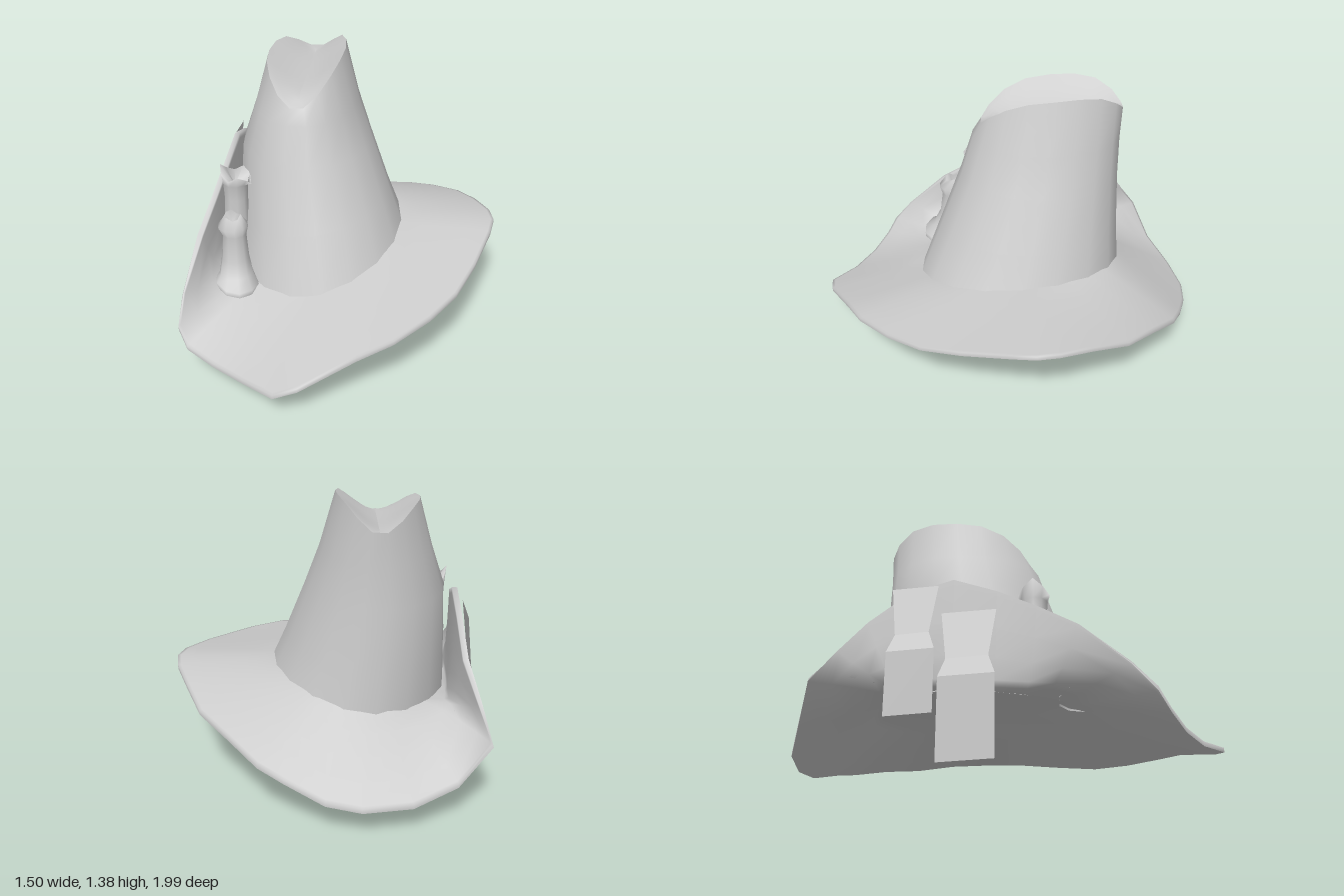
import * as THREE from 'three';

const felt = new THREE.MeshStandardMaterial({ color: 0xcccccc, side: THREE.DoubleSide });
felt.name = 'lightGrey';

// Skin a stack of closed rings, each a list of [x, y, z]
function loft(name, rings) {
  const n = rings[0].length, index = [];
  for (let r = 0; r < rings.length - 1; r++) {
    for (let i = 0; i < n; i++) {
      const a = r * n + i, b = r * n + (i + 1) % n;
      index.push(a, a + n, b, b, a + n, b + n);
    }
  }
  const g = new THREE.BufferGeometry();
  g.setAttribute('position', new THREE.Float32BufferAttribute(rings.flat(2), 3));
  g.setIndex(index);
  g.computeVertexNormals();
  const mesh = new THREE.Mesh(g, felt);
  mesh.name = name;
  return mesh;
}

const { lerp, clamp } = THREE.MathUtils;

// Horizontal ellipse; height is a function of x, z and the angle
function ellipse(cx, cz, rx, rz, height, n = 18) {
  return Array.from({ length: n }, (_, i) => {
    const t = (i / n) * Math.PI * 2;
    const x = cx + rx * Math.cos(t), z = cz + rz * Math.sin(t);
    return [x, height(x, z, t), z];
  });
}

// Where crown and brim meet
const baseX = -0.17, baseZ = -0.07, baseRX = 0.44, baseRZ = 0.54;
const seamHeight = (x, z) => {
  const u = x - baseX;
  return 0.385 + u * (u > 0 ? 0.25 : 0.04) - 0.09 * z;
};

function makeCrown() {
  const g = new THREE.Group();
  g.name = 'crown';
  // rim dips at the front and a little at the back
  const rimHeight = (x, z) => {
    const s = (z + 0.235) / 0.355;
    return 1.368 + 0.06 * (x + 0.245) - 0.03 * s - (s > 0 ? 0.138 * s ** 3 : 0.13 * s ** 4);
  };
  const rim = ellipse(-0.245, -0.23, 0.195, 0.36, rimHeight);
  g.add(loft('crownWall', [
    ellipse(baseX, baseZ, baseRX, baseRZ, (x, z) => seamHeight(x, z) - 0.02),
    ellipse(-0.2, -0.12, 0.395, 0.475, (x, z) => 0.64 + 0.1 * x),
    ellipse(-0.24, -0.175, 0.335, 0.41, () => 0.92),
    ellipse(-0.242, -0.205, 0.265, 0.378, () => 1.12),
    rim,
  ]));
  // top sinking to a soft valley along the middle
  const cap = [1, 0.75, 0.5, 0.25, 0].map(k => rim.map(([x, y, z]) => {
    const zz = -0.23 + (z + 0.23) * lerp(0.8, 1, k);
    const valley = 1.245 - 0.07 * (zz + 0.23);
    return [-0.245 + (x + 0.245) * k, lerp(valley, y, k ** 1.2), zz];
  }));
  g.add(loft('crownTop', cap));
  return g;
}

// Brim edge, going round from the unturned side to the front
const brimEdge = [
  [0.75, 0.5, -0.13], [0.73, 0.49, -0.02], [0.65, 0.44, 0.22], [0.56, 0.395, 0.42],
  [0.44, 0.37, 0.59], [0.28, 0.345, 0.75], [0.12, 0.31, 0.84], [-0.13, 0.22, 0.97],
  [-0.24, 0.19, 0.99], [-0.4, 0.165, 0.88], [-0.56, 0.17, 0.79], [-0.7, 0.205, 0.72],
  [-0.75, 0.28, 0.67], [-0.75, 0.4, 0.57], [-0.715, 0.6, 0.36], [-0.68, 0.72, 0.18],
  [-0.655, 0.82, 0], [-0.64, 0.9, -0.2], [-0.64, 0.84, -0.4], [-0.655, 0.69, -0.58],
  [-0.71, 0.53, -0.69], [-0.755, 0.38, -0.79], [-0.6, 0.23, -0.87], [-0.4, 0.18, -0.96],
  [-0.18, 0.18, -1], [-0.02, 0.2, -0.98], [0.16, 0.27, -0.92], [0.28, 0.31, -0.86],
  [0.42, 0.37, -0.73], [0.57, 0.42, -0.58], [0.66, 0.47, -0.4], [0.73, 0.495, -0.24],
];

function makeBrim() {
  const g = new THREE.Group();
  g.name = 'brim';
  // ring k: 0 at the crown, 1 at the edge; the turned-up side curls
  const ring = (k, top) => brimEdge.map(([x, y, z]) => {
    const t = Math.atan2((z - baseZ) / baseRZ, (x - baseX) / baseRX);
    const ix = baseX + baseRX * 0.97 * Math.cos(t), iz = baseZ + baseRZ * 0.97 * Math.sin(t);
    const iy = seamHeight(ix, iz);
    const turned = x < -0.5 ? clamp((y - 0.3) / 0.3, 0, 1) : 0;
    const p = [
      lerp(ix, x, k ** (1 - 0.7 * turned)),
      lerp(iy, y, k ** (1 + 0.8 * turned)),
      lerp(iz, z, k),
    ];
    if (top) p[0] += 0.025 * turned * k;
    else p[1] -= 0.022 * (1 - turned * k);
    return p;
  });
  const steps = [0, 0.12, 0.25, 0.5, 0.75, 0.97, 1];
  const under = steps.map(k => ring(k, false));
  const center = [baseX, 0.375, baseZ];
  const inside = [0, 0.5].map(k =>
    under[0].map(p => p.map((v, i) => lerp(center[i], v, k))));
  // the rolled edge belongs to the top so that it shades smoothly
  g.add(loft('brimTop', [ring(1, false), ...steps.map(k => ring(k, true)).reverse()]));
  g.add(loft('brimUnderside', [...inside, ...under]));
  return g;
}

// Flared stem from rows of [x, y, z, radius]; the foot climbs the curled brim
// and the mouth, just before the last row, is jagged
function makeStem(name, rows, jag) {
  return loft(name, rows.map(([x, y, z, r], k) => ellipse(x, z, r, r, (px, pz, t) => {
    const climb = k < 2 ? 0.35 * Math.max(0, x - px) : 0;
    return y + climb + (k === rows.length - 2 ? jag(t) : 0);
  }, 10)));
}

// Hanging strip from rows of [y, x, inset of both edges]
function makeRibbon(name, zBack, zFront, rows) {
  const g = new THREE.PlaneGeometry(1, 1, 1, rows.length - 1);
  rows.forEach(([y, x, inset], i) => {
    g.attributes.position.setXYZ(i * 2, x, y, zBack + inset);
    g.attributes.position.setXYZ(i * 2 + 1, x, y + 0.01, zFront - inset);
  });
  const flat = g.toNonIndexed();
  flat.computeVertexNormals();
  const mesh = new THREE.Mesh(flat, felt);
  mesh.name = name;
  return mesh;
}

export function createModel() {
  const hat = new THREE.Group();
  hat.name = 'hat';
  hat.add(makeCrown(), makeBrim());

  // two stems standing in the fold of the brim
  hat.add(makeStem('shortStem', [
    [-0.53, 0.315, 0.365, 0.108], [-0.53, 0.34, 0.365, 0.108], [-0.54, 0.385, 0.335, 0.085],
    [-0.545, 0.46, 0.31, 0.07], [-0.545, 0.59, 0.3, 0.06], [-0.55, 0.635, 0.3, 0.076],
    [-0.555, 0.68, 0.29, 0.045], [-0.555, 0.62, 0.29, 0.003],
  ], t => 0.012 * Math.cos(3 * t)));
  hat.add(makeStem('tallStem', [
    [-0.56, 0.355, 0.18, 0.072], [-0.56, 0.4, 0.17, 0.075], [-0.565, 0.55, 0.16, 0.067],
    [-0.56, 0.72, 0.16, 0.06], [-0.56, 0.8, 0.16, 0.063], [-0.555, 0.845, 0.16, 0.076],
    [-0.56, 0.79, 0.16, 0.003],
  ], t => 0.025 * Math.cos(3 * (t - Math.PI)) - 0.025 * Math.cos(t)));

  // two ribbons hanging outside the turned-up brim, pinched near the middle
  hat.add(makeRibbon('longRibbon', -0.245, 0, [
    [0.71, -0.67, 0], [0.47, -0.7, 0.03], [0.38, -0.715, 0], [0.005, -0.695, 0],
  ]));
  hat.add(makeRibbon('shortRibbon', -0.475, -0.265, [
    [0.85, -0.66, 0], [0.6, -0.69, 0.03], [0.51, -0.71, 0], [0.215, -0.695, 0],
  ]));
  return hat;
}
